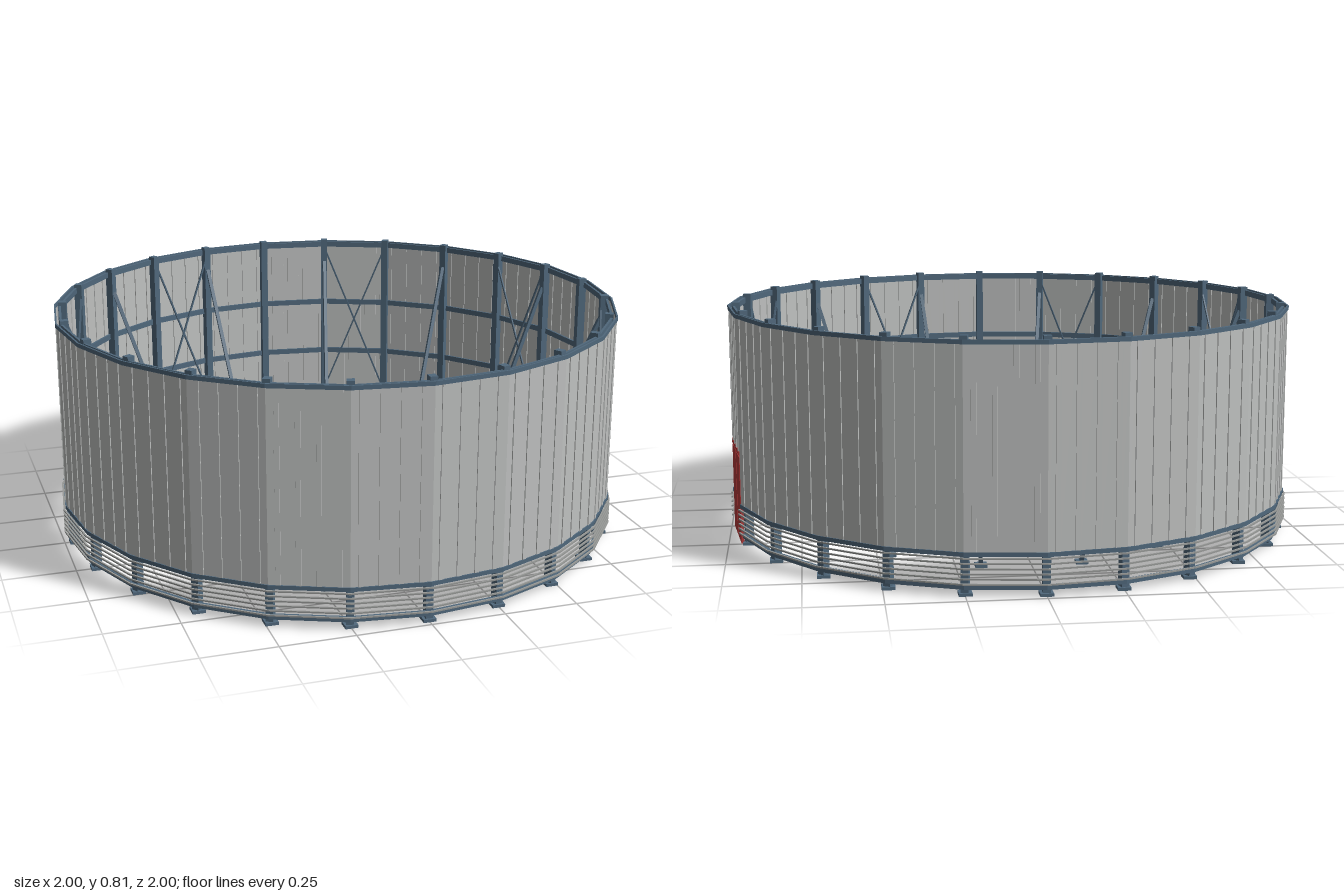
import * as THREE from 'three';

const SIDES = 24, STEP = (Math.PI * 2) / SIDES, HALF = STEP / 2;
const DOOR_BAY = 6;

const steel = new THREE.MeshStandardMaterial({ name: 'blue steel', color: 0x50687c });
const sheet = new THREE.MeshStandardMaterial({ name: 'grey cladding', color: 0xbfc1c0, side: THREE.DoubleSide });
const slatGrey = new THREE.MeshStandardMaterial({ name: 'slat grey', color: 0x989a98 });
const red = new THREE.MeshStandardMaterial({ name: 'door red', color: 0xb43a3a });

function box(parent, name, mat, w, h, d, x, y, z) {
  const m = new THREE.Mesh(new THREE.BoxGeometry(w, h, d), mat);
  m.name = name;
  m.position.set(x, y, z);
  parent.add(m);
  return m;
}

// Square bar between two points of the parent's frame
function bar(parent, name, mat, a, b, t) {
  const mid = a.clone().add(b).multiplyScalar(0.5);
  const m = box(parent, name, mat, t, a.distanceTo(b), t, mid.x, mid.y, mid.z);
  m.quaternion.setFromUnitVectors(new THREE.Vector3(0, 1, 0), b.clone().sub(a).normalize());
}

// Straight bar spanning one bay, its outer face on the polygon of radius r
function bayBar(parent, name, mat, r, y, h, d) {
  box(parent, name, mat, 2 * r * Math.sin(HALF), h, d, 0, y, r * Math.cos(HALF) - d / 2);
}

// Flat bay sheet with a few shallow upright ribs
function ribbedSheet(r, y0, y1) {
  const half = r * Math.sin(HALF), z = r * Math.cos(HALF), ribs = 4, depth = 0.003;
  const profile = [[-half, z]];
  for (let i = 0; i < ribs; i++) {
    const c = -half + ((i + 0.5) / ribs) * 2 * half;
    profile.push([c - 0.0085, z], [c - 0.008, z + depth], [c + 0.008, z + depth], [c + 0.0085, z]);
  }
  profile.push([half, z]);
  const pos = [];
  for (let i = 0; i < profile.length - 1; i++) {
    const [xa, za] = profile[i], [xb, zb] = profile[i + 1];
    pos.push(xa, y0, za, xb, y0, zb, xb, y1, zb, xa, y0, za, xb, y1, zb, xa, y1, za);
  }
  const g = new THREE.BufferGeometry();
  g.setAttribute('position', new THREE.Float32BufferAttribute(pos, 3));
  g.computeVertexNormals();
  return g;
}

// Two leaves with an open slit between them and below the header
function addDoor(bay) {
  const z = 0.976;
  for (const s of [-1, 1]) {
    box(bay, 'doorLeaf', red, 0.117, 0.303, 0.01, s * 0.066, 0.1535, z);
  }
  box(bay, 'doorHeader', red, 0.252, 0.014, 0.012, 0, 0.318, z);
}

export function createModel() {
  const model = new THREE.Group();
  model.name = 'roundEnclosure';

  const wall = ribbedSheet(0.988, 0.14, 0.79);
  const wallOverDoor = ribbedSheet(0.988, 0.322, 0.79);

  for (let i = 0; i < SIDES; i++) {
    // One flat bay, local +z pointing outwards
    const bay = new THREE.Group();
    bay.name = 'bay';
    bay.rotation.y = i * STEP + HALF;
    model.add(bay);
    const isDoor = i === DOOR_BAY;

    const panel = new THREE.Mesh(isDoor ? wallOverDoor : wall, sheet);
    panel.name = 'wallPanel';
    bay.add(panel);

    // Thin edge trim outside, girts inside
    bayBar(bay, 'topTrim', steel, 0.992, 0.793, 0.014, 0.006);
    for (const y of [0.788, 0.545, 0.335]) {
      bayBar(bay, 'girt', steel, 0.976, y, 0.02, 0.008);
    }
    if (isDoor) {
      addDoor(bay);
    } else {
      bayBar(bay, 'sillTrim', steel, 0.992, 0.136, 0.014, 0.006);
      bayBar(bay, 'sillGirt', steel, 0.976, 0.136, 0.02, 0.008);
      bayBar(bay, 'baseRail', steel, 0.984, 0.03, 0.016, 0.012);
      // Open slats below the cladding
      for (let k = 0; k < 6; k++) {
        bayBar(bay, 'slat', slatGrey, 0.999, 0.042 + k * 0.0165, 0.005, 0.006);
      }
    }

    // Crossed tie rods in every third bay
    if (i % 3 === 1) {
      for (const s of [-1, 1]) {
        bar(bay, 'tieRod', steel, new THREE.Vector3(-s * 0.122, 0.18, 0.945),
          new THREE.Vector3(s * 0.122, 0.775, 0.945), 0.006);
      }
    }

    // Post with base plate at the corner before this bay
    const a = i * STEP, sin = Math.sin(a), cos = Math.cos(a);
    const post = box(model, 'post', steel, 0.025, 0.81, 0.028, sin * 0.962, 0.405, cos * 0.962);
    post.rotation.y = a;
    box(model, 'basePlate', steel, 0.043, 0.01, 0.043, sin * 0.962, 0.005, cos * 0.962);

    // Raking brace behind every second post
    if (i % 2 === 1) {
      box(model, 'braceFoot', steel, 0.04, 0.01, 0.04, sin * 0.645, 0.005, cos * 0.645);
      bar(model, 'brace', steel, new THREE.Vector3(sin * 0.645, 0.008, cos * 0.645),
        new THREE.Vector3(sin * 0.95, 0.72, cos * 0.95), 0.013);
    }
  }
  return model;
}
